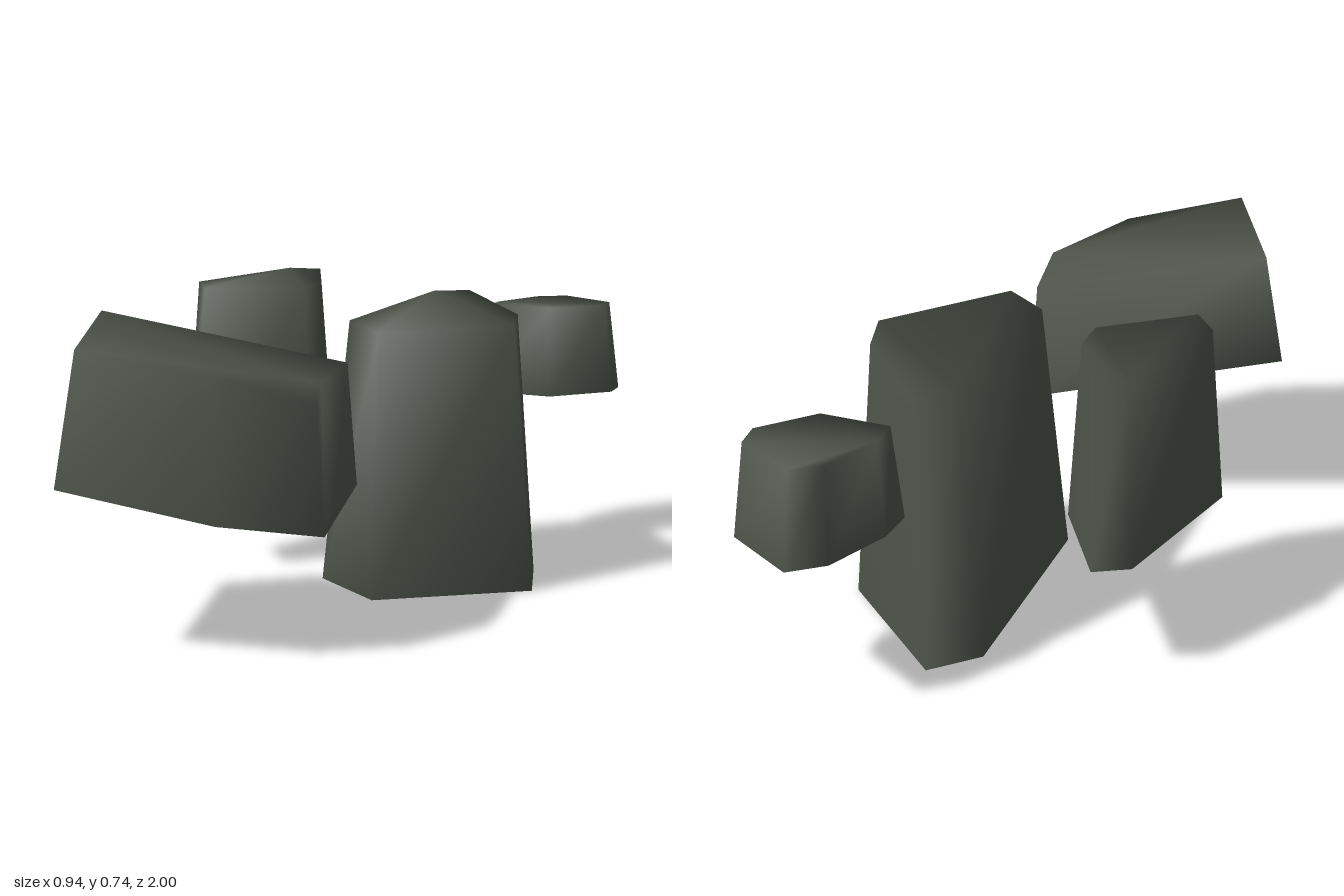
import * as THREE from 'three';

// Tapered, open-bottomed boulder between two rings of [x, y, z] corners, listed clockwise from above
function boulderGeometry(bottom, top) {
  const n = bottom.length;
  const index = [];
  for (let i = 0; i < n; i++) {
    const j = (i + 1) % n;
    index.push(j, i, n + i, j, n + i, n + j);
    if (i > 0 && j > 0) index.push(n, n + j, n + i);
  }
  const geometry = new THREE.BufferGeometry();
  geometry.setAttribute('position', new THREE.Float32BufferAttribute([...bottom, ...top].flat(), 3));
  geometry.setIndex(index);
  geometry.computeVertexNormals();
  return geometry;
}

// Adds a constant or sloping height to a ring of [x, z] points
const ring = (points, c, ax = 0, az = 0) => points.map(([x, z]) => [x, c + ax * x + az * z, z]);

export function createModel() {
  const stone = new THREE.MeshStandardMaterial({ color: 0x4c5249, side: THREE.DoubleSide });
  stone.name = 'dark mossy stone';

  const rocks = {
    // Tall central boulder
    largeRock: [
      ring([[-0.07, -0.57], [0.03, -0.675], [0.39, -0.33], [0.47, -0.13], [0.19, 0.205], [0, 0.1]], 0.031, -0.068, -0.01),
      ring([[0.01, -0.525], [0.08, -0.6], [0.35, -0.3], [0.41, -0.14], [0.19, 0.17], [0.055, 0.06]], 0.682, -0.05, -0.02),
    ],
    // Narrow boulder on the right
    sideRock: [
      ring([[-0.41, -0.48], [-0.325, -0.525], [-0.15, -0.25], [-0.135, -0.105], [-0.37, 0.06], [-0.47, -0.04]], 0.281, -0.05),
      ring([[-0.38, -0.435], [-0.305, -0.47], [-0.175, -0.23], [-0.165, -0.12], [-0.365, 0.045], [-0.435, -0.045]], 0.722, -0.04, -0.015),
    ],
    // Small boulder at the back
    backRock: [
      ring([[0.085, -0.75], [0.135, -0.93], [0.21, -1], [0.4, -0.89], [0.415, -0.8], [0.3, -0.64], [0.09, -0.645]], 0.41),
      ring([[0.1, -0.75], [0.145, -0.915], [0.21, -0.97], [0.375, -0.875], [0.39, -0.8], [0.29, -0.665], [0.11, -0.665]], 0.645),
    ],
    // Leaning boulder at the front
    frontRock: [
      [[0.295, 0.286, 0.62], [0.325, 0.28, 0.71], [0.15, 0.32, 0.89],
        [-0.205, 0.387, 0.985], [-0.435, 0.455, 0.495], [0.2, 0.32, 0.305]],
      [[0.27, 0.61, 0.62], [0.295, 0.572, 0.69], [0.15, 0.645, 0.87],
        [-0.135, 0.705, 1], [-0.375, 0.727, 0.515], [0.195, 0.617, 0.345]],
    ],
  };

  const group = new THREE.Group();
  group.name = 'rockCluster';
  for (const [name, [bottom, top]] of Object.entries(rocks)) {
    const mesh = new THREE.Mesh(boulderGeometry(bottom, top), stone);
    mesh.name = name;
    group.add(mesh);
  }
  return group;
}
